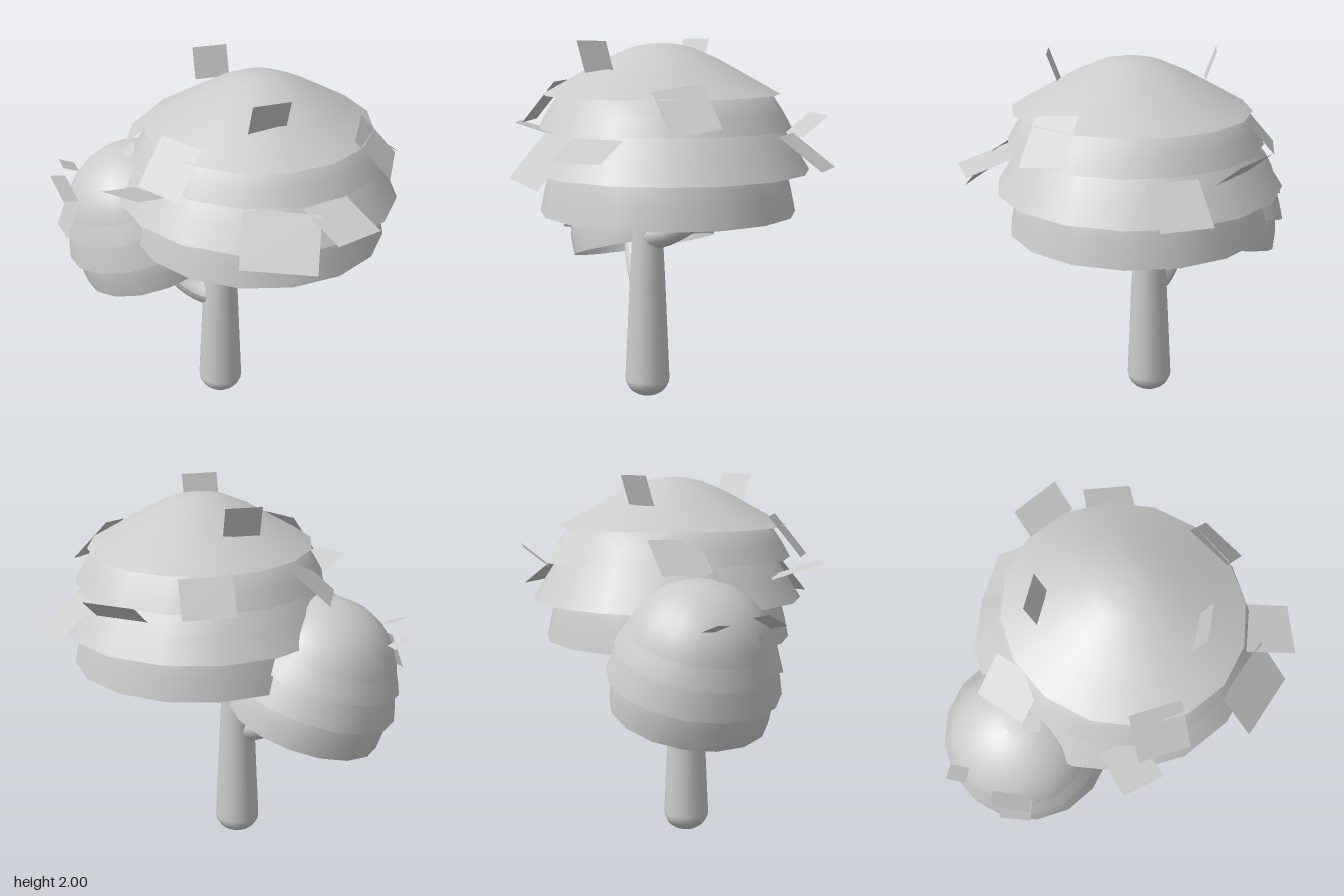
import * as THREE from 'three';

const mat = new THREE.MeshStandardMaterial({ color: 0xcccccc });
const thin = new THREE.MeshStandardMaterial({ color: 0xcccccc, side: THREE.DoubleSide });

function add(parent, name, geometry, material) {
  const mesh = new THREE.Mesh(geometry, material);
  mesh.name = name;
  parent.add(mesh);
  return mesh;
}

const lathe = points =>
  new THREE.LatheGeometry(points.map(p => new THREE.Vector2(...p)), 16);

// Canopy of stacked open shells: [x, y, z, profile of [radius, height] from rim upward]
function canopy(name, layers) {
  const group = new THREE.Group();
  group.name = name;
  layers.forEach(([x, y, z, profile], i) => {
    add(group, `${name}Layer${i + 1}`, lathe(profile), thin).position.set(x, y, z);
  });
  return group;
}

// Tube along a smooth curve whose rings shrink from r0 to r1
function taperedTube(points, r0, r1) {
  const curve = new THREE.CatmullRomCurve3(points.map(p => new THREE.Vector3(...p)));
  const rings = 16, sides = 12;
  const geo = new THREE.TubeGeometry(curve, rings, 1, sides, false);
  const pos = geo.attributes.position;
  const v = new THREE.Vector3();
  for (let i = 0; i <= rings; i++) {
    const c = curve.getPointAt(i / rings);
    const r = THREE.MathUtils.lerp(r0, r1, i / rings);
    for (let j = 0; j <= sides; j++) {
      const k = i * (sides + 1) + j;
      v.fromBufferAttribute(pos, k).sub(c).multiplyScalar(r).add(c);
      pos.setXYZ(k, v.x, v.y, v.z);
    }
  }
  geo.computeVertexNormals();
  return geo;
}

// Loose leaf panels: [centre, normal, width, height, roll]
const leaves = [
  [[0.44, 1.55, -0.74], [-0.1, 0.78, 0.62], 0.28, 0.18, 0],
  [[0.77, 1.44, -0.56], [0.42, 0.8, -0.42], 0.26, 0.28, 0],
  [[0.815, 1.67, 0.12], [0.74, 0.66, 0.15], 0.26, 0.28, 0.2],
  [[0.4, 1.41, 0.72], [0.12, 0.66, 0.75], 0.38, 0.3, -0.08],
  [[0.68, 1.48, 0.58], [0.22, 0.95, 0.22], 0.27, 0.28, 0],
  [[-0.35, 1.5, 0.5], [0.12, 0.93, -0.28], 0.22, 0.28, 0],
  [[-0.17, 1.67, 0.53], [-0.42, 0.64, 0.66], 0.27, 0.28, 0],
  [[-0.1, 1.92, -0.31], [0.4, 0.35, 0.85], 0.19, 0.17, 0],
  [[0.3, 1.905, 0.4], [-0.45, 0.35, -0.82], 0.2, 0.19, 0],
  [[-0.45, 1.6, -0.2], [-0.65, 0.75, 0.05], 0.28, 0.25, 0],
  [[0.0, 1.62, -0.64], [-0.3, 0.65, -0.7], 0.27, 0.22, 0],
  [[-0.5, 1.5, -0.02], [-0.5, 0.8, 0.4], 0.09, 0.09, 0],
  [[-0.83, 1.15, 0.13], [-0.75, 0.32, 0.55], 0.16, 0.2, -0.1],
  [[-0.84, 1.31, 0.12], [0.4, 0.87, 0.15], 0.09, 0.2, -0.52],
  [[-0.9, 1.3, -0.19], [0.4, 0.9, -0.1], 0.1, 0.1, 0.3],
];

export function createModel() {
  const model = new THREE.Group();
  model.name = 'layeredTree';

  // Trunk with a rounded foot and a closed top
  const profile = [[0, 0]];
  for (let i = 1; i <= 6; i++) {
    const a = (i / 6) * Math.PI / 2;
    profile.push([0.125 * Math.sin(a), 0.1 - 0.1 * Math.cos(a)]);
  }
  profile.push([0.1, 0.65], [0.068, 1.25], [0.045, 1.3], [0, 1.32]);
  add(model, 'trunk', lathe(profile), mat);

  // Branches curving up into the two canopies
  add(model, 'leftBranch', taperedTube([
    [0.0, 0.92, 0.0], [0.1, 0.95, -0.08], [0.165, 1.02, -0.2],
    [0.2, 1.15, -0.29], [0.22, 1.35, -0.32],
  ], 0.085, 0.02), mat);
  add(model, 'rightBranch', taperedTube([
    [0.0, 0.65, 0.0], [-0.12, 0.665, -0.01], [-0.24, 0.73, -0.02],
    [-0.32, 0.84, -0.03], [-0.35, 0.97, -0.04],
  ], 0.085, 0.03), mat);

  // Large canopy: inner dome, two flared skirts and a shallow crown
  const main = canopy('mainCanopy', [
    [0.2, 1.09, -0.037, [[0.685, 0], [0.66, 0.12], [0.625, 0.25], [0.56, 0.4],
      [0.45, 0.54], [0.3, 0.66], [0.15, 0.72], [0, 0.74]]],
    [0.195, 1.315, -0.043, [[0.752, 0], [0.68, 0.115], [0.6, 0.235], [0.5, 0.34]]],
    [0.2, 1.54, -0.02, [[0.672, 0], [0.625, 0.085], [0.565, 0.175], [0.47, 0.24]]],
    [0.2, 1.715, 0, [[0.632, 0], [0.46, 0.095], [0.3, 0.183], [0.16, 0.243],
      [0.08, 0.26], [0, 0.265]]],
  ]);
  main.children[3].scale.x = 0.95;
  model.add(main);

  // Small canopy leaning outward
  const crown = [];
  for (let i = 0; i <= 7; i++) {
    const a = 1.3 * (1 - i / 7);
    crown.push([0.41 * Math.sin(a), 0.41 * (Math.cos(a) - Math.cos(1.3))]);
  }
  const small = canopy('sideCanopy', [
    [0, 0, 0, [[0.42, 0], [0.425, 0.1], [0.415, 0.2], [0.37, 0.36], [0.28, 0.5],
      [0.15, 0.6], [0, 0.64]]],
    [0, 0.18, 0, [[0.46, 0], [0.435, 0.09], [0.4, 0.19]]],
    [0, 0.33, 0, [[0.435, 0], [0.41, 0.06], [0.37, 0.14]]],
    [0, 0.415, 0, crown],
  ]);
  small.position.set(-0.397, 0.79, -0.135);
  small.rotation.set(0.05, 0, 0.285);
  model.add(small);

  // Leaf panels, each turned to face along its normal
  const foliage = new THREE.Group();
  foliage.name = 'leafPanels';
  for (const [centre, normal, w, h, roll] of leaves) {
    const leaf = add(foliage, 'leafPanel', new THREE.PlaneGeometry(w, h), thin);
    leaf.position.set(...centre);
    leaf.lookAt(leaf.position.clone().add(new THREE.Vector3(...normal)));
    leaf.rotateZ(roll);
  }
  model.add(foliage);
  return model;
}
